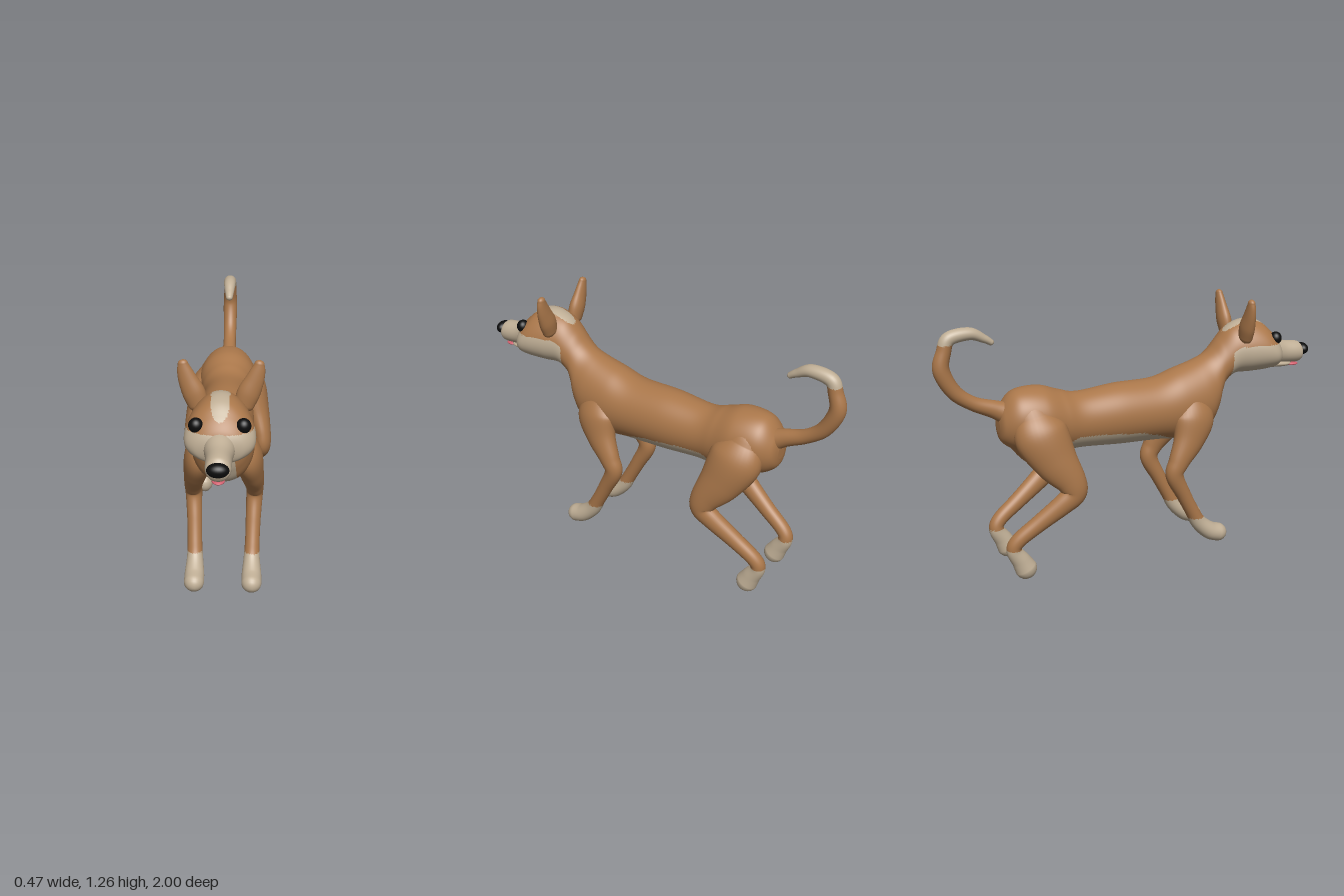
import * as THREE from 'three';

const paint = (name, color) => Object.assign(new THREE.MeshStandardMaterial({ color }), { name });
const V = (x, y, z) => new THREE.Vector3(x, y, z);

// Catmull-Rom through rows of numbers, with n steps per span
function smoothRows(rows, n) {
  const out = [];
  for (let i = 0; i < rows.length - 1; i++) {
    const [p, q, r, s] = [-1, 0, 1, 2].map(k => rows[Math.min(rows.length - 1, Math.max(0, i + k))]);
    for (let j = 0; j < n; j++) {
      const t = j / n;
      out.push(q.map((v, k) => 0.5 * (2 * v + (r[k] - p[k]) * t
        + (2 * p[k] - 5 * v + 4 * r[k] - s[k]) * t * t + (3 * v - p[k] - 3 * r[k] + s[k]) * t * t * t)));
    }
  }
  out.push(rows[rows.length - 1].slice());
  return out;
}

// Skin over elliptical rings {c, a, b, k}; k narrows the upper half; colourOf picks a material index
function skin(name, rings, seg, materials, colourOf = () => 0) {
  const pts = [];
  for (const { c, a, b, k = 0 } of rings) {
    for (let j = 0; j < seg; j++) {
      const u = j / seg * Math.PI * 2;
      pts.push(c.clone().addScaledVector(a, Math.cos(u) * (1 - k * Math.sin(u))).addScaledVector(b, Math.sin(u)));
    }
  }
  const last = (rings.length - 1) * seg, tail = pts.length, nose = tail + 1;
  pts.push(rings[0].c.clone(), rings[rings.length - 1].c.clone());
  const buckets = materials.map(() => []);
  const tri = (i, j, k) => {
    const m = pts[i].clone().add(pts[j]).add(pts[k]).divideScalar(3);
    buckets[colourOf(m)].push(i, j, k);
  };
  for (let j = 0; j < seg; j++) {
    const n = (j + 1) % seg;
    tri(tail, n, j);
    tri(nose, last + j, last + n);
    for (let i = 0; i < last; i += seg) {
      tri(i + j, i + n, i + seg + j);
      tri(i + n, i + seg + n, i + seg + j);
    }
  }
  const g = new THREE.BufferGeometry().setFromPoints(pts);
  g.setIndex(buckets.flat());
  let start = 0;
  buckets.forEach((b, i) => { g.addGroup(start, b.length, i); start += b.length; });
  g.computeVertexNormals();
  const mesh = new THREE.Mesh(g, materials);
  mesh.name = name;
  return mesh;
}

// Rings from rows [topZ, topY, bottomZ, bottomY, halfWidth, upperNarrowing]
const trunkRings = (rows, n) => smoothRows(rows, n).map(([zt, yt, zb, yb, w, k = 0]) => ({
  c: V(0, (yt + yb) / 2, (zt + zb) / 2), a: V(w, 0, 0), b: V(0, (yt - yb) / 2, (zt - zb) / 2), k }));

// Rings square to a path from rows [x, y, z, radiusX, radiusOther], with rounded ends
function limbRings(rows, n, side = 1) {
  const r = smoothRows(rows, n), c = r.map(p => V(p[0] * side, p[1], p[2])), rings = [];
  const add = (i, shift, scale) => {
    const t = c[Math.min(i + 1, c.length - 1)].clone().sub(c[Math.max(i - 1, 0)]).normalize();
    const a = V(1, 0, 0).addScaledVector(t, -t.x).normalize(), b = t.clone().cross(a);
    rings.push({ c: c[i].clone().addScaledVector(t, shift * r[i][4]),
      a: a.multiplyScalar(r[i][3] * scale), b: b.multiplyScalar(r[i][4] * scale) });
  };
  const caps = [0.15, 0.4, 0.65, 0.9, 1.15, 1.4];
  [...caps].reverse().forEach(u => add(0, -Math.sin(u), Math.cos(u)));
  c.forEach((_, i) => add(i, 0, 1));
  caps.forEach(u => add(c.length - 1, Math.sin(u), Math.cos(u)));
  return rings;
}

// Linear lookup through [position, value] pairs sorted by position
function along(table, x) {
  for (let i = 1; i < table.length; i++) {
    if (x <= table[i][0]) {
      const [[x0, v0], [x1, v1]] = [table[i - 1], table[i]];
      return v0 + (v1 - v0) * Math.max(0, (x - x0) / (x1 - x0));
    }
  }
  return table[table.length - 1][1];
}

export function createModel() {
  const dog = new THREE.Group();
  dog.name = 'dog';
  const brown = paint('brown fur', 0xaa774a), cream = paint('cream fur', 0xbfae95);
  const black = paint('black', 0x0c0c0c), pink = paint('tongue pink', 0xd0606e);
  const fur = [brown, cream];

  // Rump, back, chest, neck and skull in one skin
  const trunk = [
    [-0.705, 0.78, -0.705, 0.71, 0.03, 0], [-0.685, 0.84, -0.69, 0.66, 0.08, 0],
    [-0.62, 0.905, -0.62, 0.615, 0.13, 0], [-0.5, 0.915, -0.5, 0.6, 0.15, 0],
    [-0.4, 0.885, -0.38, 0.585, 0.135, 0], [-0.3, 0.862, -0.28, 0.585, 0.125, 0],
    [-0.1, 0.88, -0.1, 0.575, 0.14, 0], [0.1, 0.885, 0.1, 0.57, 0.145, 0],
    [0.22, 0.92, 0.26, 0.56, 0.15, 0], [0.32, 0.95, 0.38, 0.595, 0.145, 0.05],
    [0.38, 0.975, 0.43, 0.67, 0.13, 0.1], [0.42, 1.005, 0.455, 0.76, 0.113, 0.1],
    [0.46, 1.05, 0.48, 0.82, 0.105, 0.1], [0.52, 1.11, 0.54, 0.865, 0.115, 0.1],
    [0.6, 1.14, 0.62, 0.868, 0.137, 0.16], [0.68, 1.13, 0.7, 0.872, 0.15, 0.18],
    [0.74, 1.085, 0.75, 0.88, 0.145, 0.16], [0.78, 1.04, 0.785, 0.89, 0.11, 0.1],
    [0.8, 1.0, 0.8, 0.915, 0.06, 0]];
  const bellyLine = [[-0.43, 0.57], [-0.39, 0.64], [-0.34, 0.668], [-0.2, 0.665], [0, 0.645], [0.12, 0.605], [0.2, 0.57]];
  const chestHalf = [[0.55, 0.07], [0.65, 0.068], [0.82, 0.043], [0.9, 0.06]];
  const trunkColour = ({ x, y, z }) => {
    const muzzleMask = z > 0.5 && y < 1.02 - 9 * Math.max(0, 0.56 - z) ** 2;
    const blaze = y > 1.02 && (x / 0.041) ** 2 + ((z - 0.625) / 0.135) ** 4 < 1;
    const chest = y < 0.9 && (z > 0.2 || (z > 0.05 && y < 0.62)) && Math.abs(x) < along(chestHalf, y);
    const belly = z > -0.43 && z < 0.2 && y < along(bellyLine, z);
    return muzzleMask || blaze || chest || belly ? 1 : 0;
  };
  dog.add(skin('body and head', trunkRings(trunk, 10), 96, fur, trunkColour));

  // Muzzle and lower jaw
  dog.add(skin('muzzle', trunkRings([
    [0.73, 1.04, 0.73, 0.89, 0.07], [0.79, 1.025, 0.79, 0.888, 0.066], [0.85, 1.005, 0.85, 0.886, 0.056],
    [0.92, 0.997, 0.92, 0.883, 0.055], [0.945, 0.988, 0.948, 0.889, 0.05], [0.962, 0.965, 0.962, 0.91, 0.03]], 6), 32, [cream]));
  dog.add(skin('lower jaw', trunkRings([
    [0.7, 0.91, 0.7, 0.885, 0.04], [0.78, 0.91, 0.78, 0.871, 0.05], [0.86, 0.9, 0.86, 0.868, 0.043],
    [0.893, 0.892, 0.893, 0.876, 0.022]], 6), 24, [cream]));

  // Rounded small parts
  const blob = (name, material, p, s) => {
    const m = new THREE.Mesh(new THREE.SphereGeometry(1, 32, 20), material);
    m.name = name;
    m.position.set(...p);
    m.scale.set(...s);
    dog.add(m);
  };
  blob('nose', black, [0, 0.95, 0.968], [0.047, 0.031, 0.032]);
  blob('tongue', pink, [0, 0.874, 0.912], [0.027, 0.009, 0.034]);

  // Tail with a cream tip
  dog.add(skin('tail', limbRings([
    [0, 0.79, -0.64, 0.055, 0.06], [0, 0.825, -0.72, 0.04, 0.043], [0, 0.865, -0.82, 0.034, 0.034],
    [0, 0.93, -0.905, 0.036, 0.036], [0, 1.035, -0.958, 0.038, 0.039], [0, 1.12, -0.942, 0.034, 0.034],
    [0, 1.178, -0.915, 0.033, 0.033], [0, 1.193, -0.82, 0.032, 0.029], [0, 1.165, -0.755, 0.024, 0.02],
    [0, 1.145, -0.722, 0.018, 0.015]], 8), 32, fur, p => (p.y > 1.152 || (p.z > -0.89 && p.y > 1.1) ? 1 : 0)));

  const foreleg = [
    [0.09, 0.76, 0.27, 0.06, 0.08], [0.115, 0.68, 0.27, 0.07, 0.11], [0.135, 0.58, 0.235, 0.058, 0.083],
    [0.15, 0.48, 0.175, 0.045, 0.055], [0.15, 0.41, 0.152, 0.041, 0.046], [0.145, 0.3, 0.205, 0.037, 0.038],
    [0.142, 0.2, 0.258, 0.036, 0.036], [0.14, 0.13, 0.298, 0.04, 0.04], [0.14, 0.075, 0.36, 0.048, 0.046],
    [0.14, 0.056, 0.41, 0.049, 0.047]];
  const hindLeg = [
    [0.08, 0.78, -0.55, 0.07, 0.1], [0.115, 0.7, -0.53, 0.09, 0.13], [0.155, 0.58, -0.475, 0.07, 0.105],
    [0.185, 0.48, -0.412, 0.05, 0.073], [0.188, 0.42, -0.4, 0.046, 0.06], [0.18, 0.37, -0.455, 0.043, 0.052],
    [0.16, 0.285, -0.57, 0.038, 0.042], [0.146, 0.21, -0.67, 0.036, 0.037], [0.14, 0.16, -0.693, 0.036, 0.037],
    [0.14, 0.1, -0.66, 0.041, 0.046], [0.14, 0.058, -0.638, 0.048, 0.054]];
  const ear = [
    [0.1, 1.07, 0.565, 0.045, 0.032], [0.118, 1.12, 0.562, 0.05, 0.034], [0.142, 1.175, 0.56, 0.042, 0.027],
    [0.157, 1.22, 0.558, 0.032, 0.021], [0.163, 1.25, 0.556, 0.022, 0.017]];
  const sock = p => (p.y < 0.163 ? 1 : 0);

  // Mirrored pairs
  for (const [side, word] of [[1, 'left'], [-1, 'right']]) {
    dog.add(skin(word + ' foreleg', limbRings(foreleg, 8, side), 32, fur, sock));
    dog.add(skin(word + ' hind leg', limbRings(hindLeg, 8, side), 32, fur, sock));
    dog.add(skin(word + ' ear', limbRings(ear, 6, side), 28, [brown]));
    blob(word + ' eye', black, [side * 0.1, 1.046, 0.743], [0.032, 0.033, 0.03]);
  }
  return dog;
}
